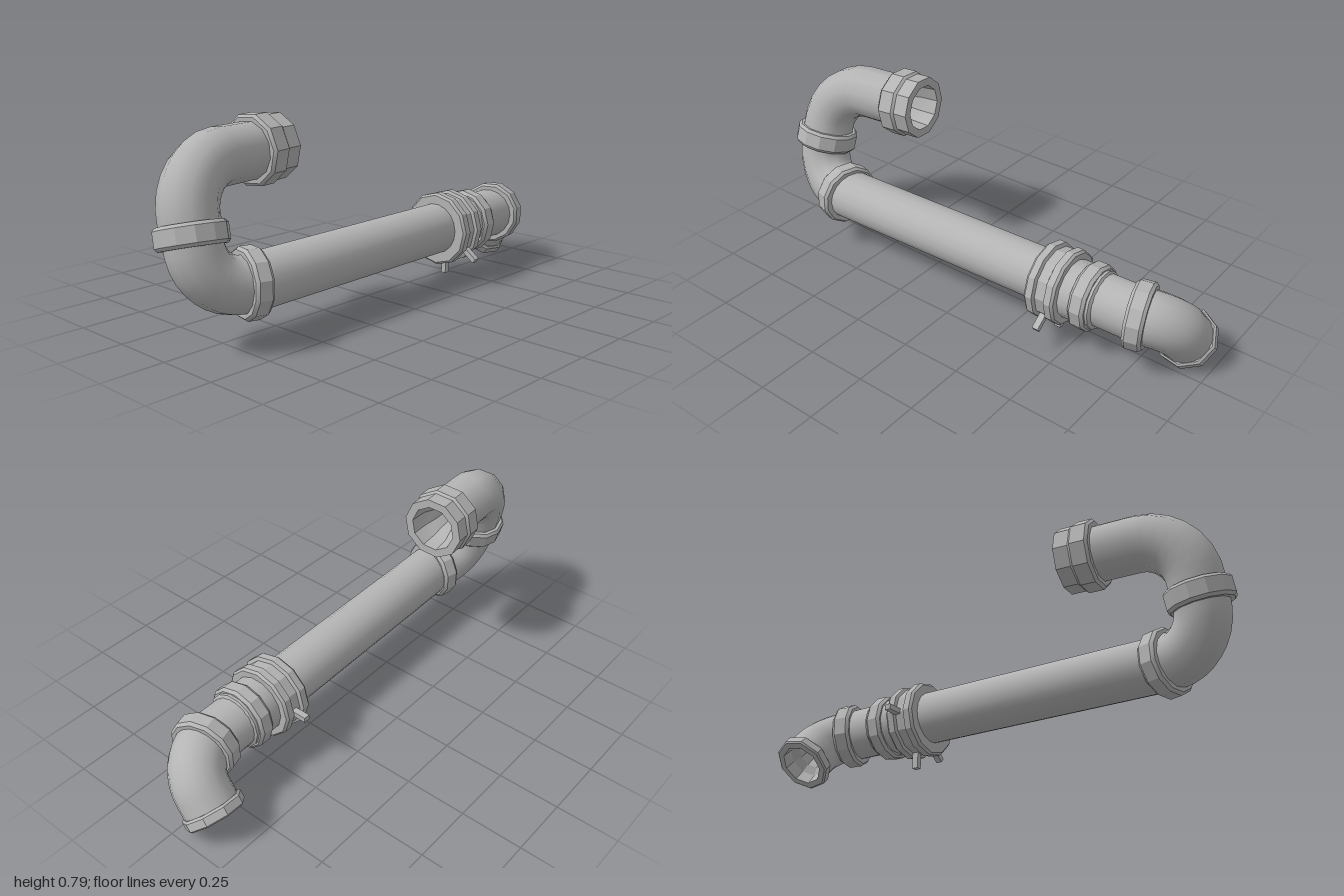
import * as THREE from 'three';
import { toCreasedNormals } from 'three/addons/utils/BufferGeometryUtils.js';

const V = (x, y, z) => new THREE.Vector3(x, y, z);
const metal = new THREE.MeshStandardMaterial({ color: 0xb4b4b4 });
metal.name = 'grey metal';

export function createModel() {
  const model = new THREE.Group();
  model.name = 'bentPipe';

  const add = (name, geometry, parent = model) => {
    const mesh = new THREE.Mesh(geometry, metal);
    mesh.name = name;
    parent.add(mesh);
    return mesh;
  };

  // Ring or pipe turned around its axis; profile is [radius, distance along axis]
  const turned = (name, centre, axis, profile, sides = 11, crease = 0.5) => {
    const points = profile.map(([r, h]) => new THREE.Vector2(r, h));
    const mesh = add(name, toCreasedNormals(new THREE.LatheGeometry(points, sides), crease));
    mesh.position.copy(centre);
    mesh.quaternion.setFromUnitVectors(V(0, 1, 0), axis.clone().normalize());
    return mesh;
  };

  // Plain closed collar with slightly bevelled rims
  const collar = (name, centre, axis, r, width, sides) => {
    const h = width / 2;
    return turned(name, centre, axis, [
      [0.09, -h], [r - 0.01, -h], [r, -h + 0.012], [r, h - 0.012], [r - 0.01, h], [0.09, h],
    ], sides);
  };

  // Pipe from start to end, rounded at the corner
  const elbow = (name, start, corner, end, bend, radius, sides, steps) => {
    const a = corner.clone().add(start.clone().sub(corner).setLength(bend));
    const b = corner.clone().add(end.clone().sub(corner).setLength(bend));
    const path = new THREE.CurvePath();
    path.add(new THREE.LineCurve3(start, a));
    path.add(new THREE.CubicBezierCurve3(a, a.clone().lerp(corner, 0.55), b.clone().lerp(corner, 0.55), b));
    path.add(new THREE.LineCurve3(b, end));
    return add(name, new THREE.TubeGeometry(path, steps, radius, sides, false));
  };

  // Long straight pipe
  const left = V(-0.69, 0.24, 0.088), right = V(0.755, 0.242, 0.055);
  const along = right.clone().sub(left);
  turned('mainPipe', left, along, [[0.105, 0], [0.105, along.length()]], 18, 1);

  // Lower and upper bends on the right-hand side, joined by a leaning collar
  const joint = V(-0.872, 0.43, 0.008), jointAxis = V(0.02, 0.23, -0.068);
  const upperEnd = V(-0.42, 0.667, -0.096);
  const upperCorner = V(-0.86, 0.662, -0.058);
  elbow('lowerBend', V(-0.67, 0.24, 0.09), V(-0.867, 0.243, 0.055), joint, 0.14, 0.106, 12, 12);
  elbow('upperBend', joint, upperCorner, upperEnd, 0.18, 0.108, 12, 14);
  collar('lowerBendCollar', V(-0.692, 0.24, 0.087), V(1, -0.03, 0.24), 0.132, 0.072, 12);
  collar('jointCollar', joint, jointAxis, 0.13, 0.082, 12);

  // Stepped socket around the upper opening, with a narrowing bore
  turned('upperSocket', V(-0.395, 0.667, -0.1), V(1, 0.02, -0.085), [
    [0.09, -0.14], [0.126, -0.14], [0.137, -0.13], [0.137, -0.07], [0.128, -0.06],
    [0.128, 0], [0.094, 0], [0.088, -0.08], [0.066, -0.13], [0.06, -0.22], [0, -0.22],
  ], 10);

  // Clamp with two raised rims
  const clampX = 0.407, clampAxis = along;
  turned('clamp', V(clampX, 0.238, 0.065), clampAxis, [
    [0.1, -0.064], [0.145, -0.064], [0.154, -0.054], [0.154, -0.026], [0.14, -0.02],
    [0.14, 0.02], [0.152, 0.026], [0.152, 0.054], [0.144, 0.064], [0.1, 0.064],
  ], 12);

  // Tabs sticking out of the clamp
  [Math.PI, -Math.PI / 2, 2.22].forEach((angle) => {
    const tab = add('clampTab', new THREE.BoxGeometry(0.026, 0.085, 0.022));
    tab.position.set(0.415, 0.238 + 0.16 * Math.cos(angle), 0.065 + 0.16 * Math.sin(angle));
    tab.rotation.x = angle;
  });

  // Sleeve and ring beside the clamp
  turned('sleeve', V(0.49, 0.24, 0.063), clampAxis,
    [[0.1, -0.04], [0.117, -0.04], [0.117, 0.11], [0.1, 0.12]], 14, 0.6);
  collar('sleeveRing', V(0.555, 0.239, 0.062), clampAxis, 0.134, 0.068, 12);

  // Left-hand bend, turning down and back to an open end
  const outletAxis = V(0.06, -0.75, -0.66).normalize();
  const outlet = V(0.88, 0.085, -0.115);
  const outletCorner = outlet.clone().addScaledVector(outletAxis, -0.222);
  elbow('outletBend', right, outletCorner, outlet.clone().addScaledVector(outletAxis, -0.015),
    0.12, 0.106, 18, 18);
  collar('outletBendCollar', V(0.755, 0.241, 0.052), V(1, -0.04, -0.27), 0.133, 0.074, 12);
  turned('outletRim', outlet, outletAxis, [
    [0.09, -0.045], [0.112, -0.045], [0.12, -0.037], [0.12, -0.006], [0.113, 0],
    [0.088, 0], [0.084, -0.05], [0.062, -0.08], [0.056, -0.15], [0, -0.15],
  ], 9);

  return model;
}
